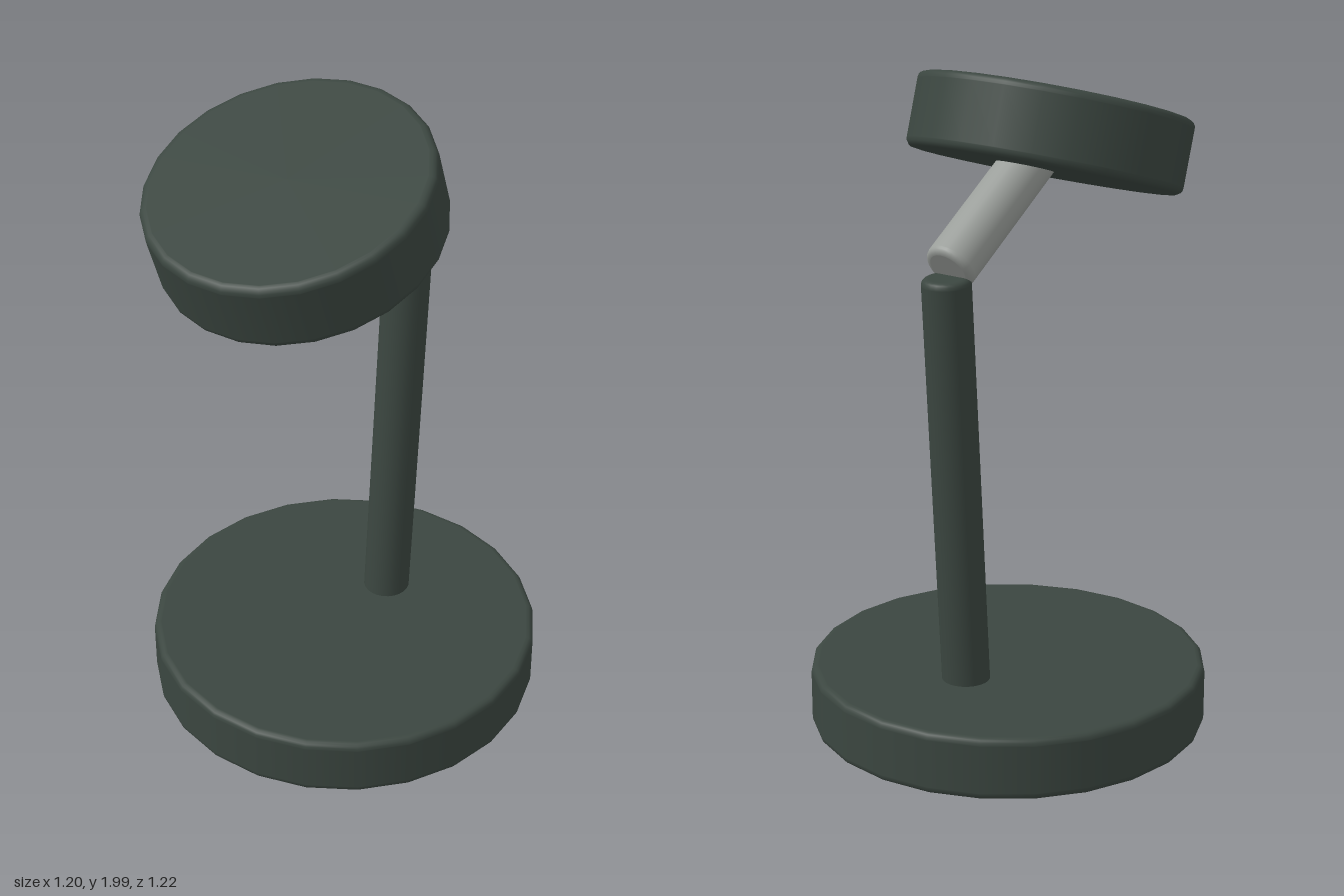
import * as THREE from 'three';

const SIDES = 24;

// Cylinder with rounded rims, standing on y = 0
function roundedCylinder(radius, height, bevel) {
  const pts = [new THREE.Vector2(0, 0), new THREE.Vector2(radius - bevel - 0.002, 0)];
  const arc = (cy, from) => {
    for (let i = 0; i <= 4; i++) {
      const a = from + (i / 4) * Math.PI / 2;
      pts.push(new THREE.Vector2(radius - bevel + Math.cos(a) * bevel, cy + Math.sin(a) * bevel));
    }
  };
  arc(bevel, -Math.PI / 2);
  // support rings keep the straight wall evenly shaded
  pts.push(new THREE.Vector2(radius, bevel + 0.002), new THREE.Vector2(radius, height - bevel - 0.002));
  arc(height - bevel, 0);
  pts.push(new THREE.Vector2(radius - bevel - 0.002, height), new THREE.Vector2(0, height));
  return new THREE.LatheGeometry(pts, SIDES);
}

export function createModel() {
  const group = new THREE.Group();
  const dark = new THREE.MeshStandardMaterial({ name: 'darkGreenGrey', color: 0x3b4640 });
  const grey = new THREE.MeshStandardMaterial({ name: 'lightGrey', color: 0x9a9e9a });

  // Places a rounded cylinder at (y, z), leaning forward by tilt
  const add = (name, material, radius, height, bevel, y, z, tilt) => {
    const mesh = new THREE.Mesh(roundedCylinder(radius, height, bevel), material);
    mesh.name = name;
    mesh.position.set(0, y, z);
    mesh.rotation.x = tilt;
    group.add(mesh);
  };

  // Heavy round foot
  add('base', dark, 0.6, 0.19, 0.02, 0, -0.01, 0);
  // Slightly back-leaning pole
  add('pole', dark, 0.072, 1.338, 0.018, 0.1, -0.21, -0.063);
  // Hinged arm reaching forward into the head
  add('arm', grey, 0.077, 0.54, 0.018, 1.455, -0.286, 0.983);
  // Tilted lamp head
  add('head', dark, 0.412, 0.22, 0.022, 1.666, 0.16, 0.302);

  return group;
}
